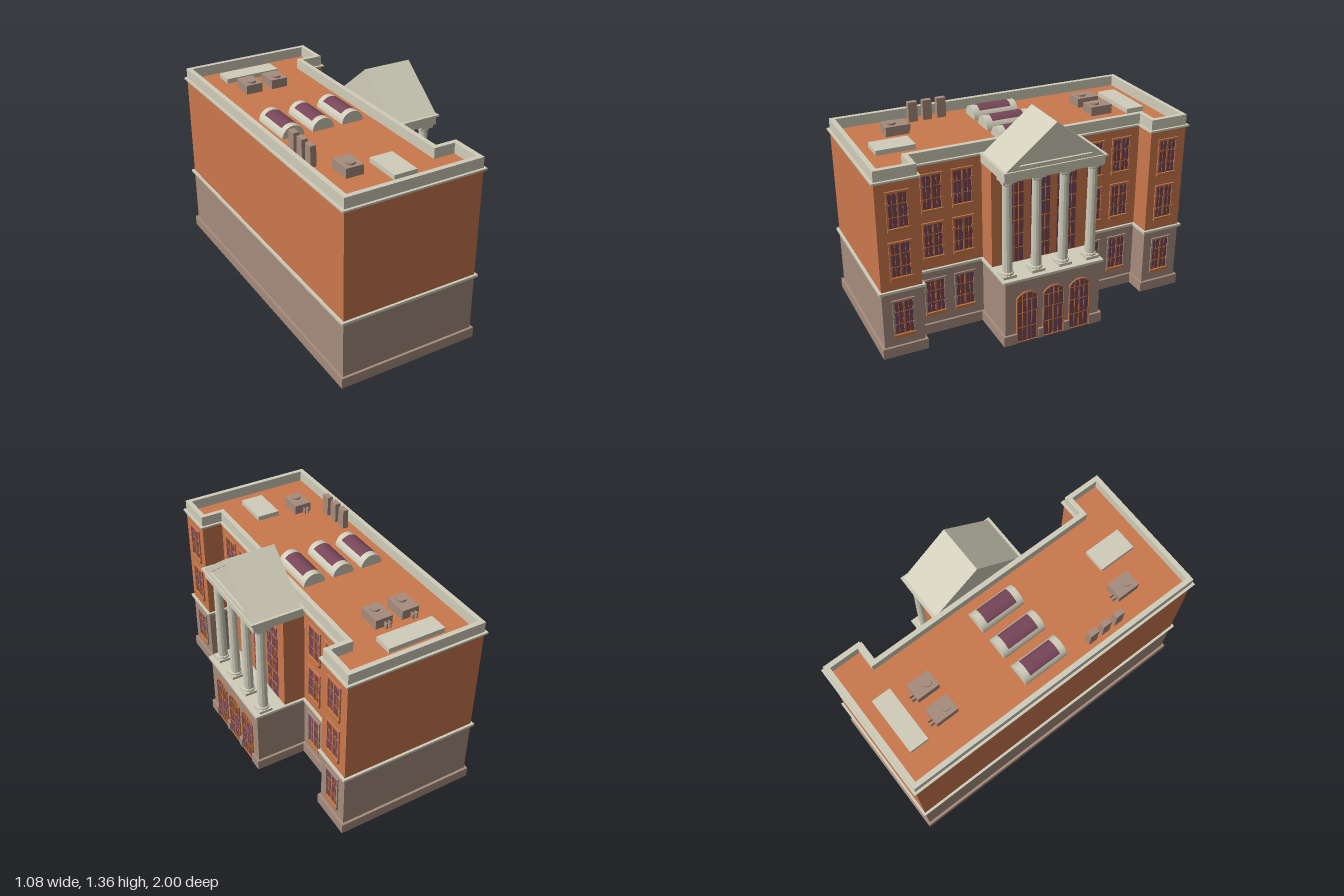
import * as THREE from 'three';

const material = (name, color, side = THREE.FrontSide) => {
  const m = new THREE.MeshStandardMaterial({ color, side });
  m.name = name;
  return m;
};

export function createModel() {
  const model = new THREE.Group();
  model.name = 'building';
  const brick = material('orange brick', 0xcb784c);
  const stone = material('brown stone', 0xa68c7d);
  const cream = material('cream stone', 0xd0cdba);
  const trim = material('window trim', 0xc67840);
  const glass = material('plum glass', 0x774659, THREE.DoubleSide);

  const add = (name, geometry, mat, parent = model) => {
    const mesh = new THREE.Mesh(geometry, mat);
    mesh.name = name;
    parent.add(mesh);
    return mesh;
  };
  // Box given by its limits on each axis
  const box = (name, mat, x0, x1, y0, y1, z0, z1, parent = model) => {
    const g = new THREE.BoxGeometry(x1 - x0, y1 - y0, z1 - z0);
    g.translate((x0 + x1) / 2, (y0 + y1) / 2, (z0 + z1) / 2);
    return add(name, g, mat, parent);
  };

  // Footprint with two wings and an optional centre bay, grown outwards by d
  const outline = (bay, d) => {
    const half = [[-0.525 - d, 0.985 + d], [0.335 + d, 0.985 + d], [0.335 + d, 0.74 - d], [0.2 + d, 0.74 - d]];
    if (bay) half.push([0.2 + d, 0.31 + d], [bay + d, 0.31 + d]);
    const all = [...half, ...half.slice().reverse().map(([x, z]) => [x, -z])];
    return all.map(([x, z]) => new THREE.Vector2(x, -z));
  };
  const rise = (name, mat, shape, y0, y1) => {
    const g = new THREE.ExtrudeGeometry(shape, { depth: y1 - y0, bevelEnabled: false });
    g.rotateX(-Math.PI / 2).translate(0, y0, 0);
    return add(name, g, mat);
  };
  const ring = (name, mat, bay, outer, inner, y0, y1) => {
    const shape = new THREE.Shape(outline(bay, outer));
    shape.holes.push(new THREE.Path(outline(bay, inner)));
    return rise(name, mat, shape, y0, y1);
  };

  // Hollow walls, bands, parapet and roof
  ring('lowerWalls', stone, 0.52, 0, -0.01, 0, 0.42);
  ring('upperWalls', brick, 0.335, 0, -0.01, 0.42, 1.1);
  ring('floorBand', cream, 0.52, 0.015, -0.01, 0.42, 0.435);
  ring('cornice', cream, 0, 0.015, -0.02, 1.1, 1.111);
  ring('parapet', cream, 0, 0, -0.03, 1.11, 1.175);
  rise('roof', brick, new THREE.Shape(outline(0, -0.01)), 1.098, 1.11);

  // Plinth, left open at the doors and closed again by short piers
  const open = (d) => {
    const pts = outline(0.52, d);
    const i = pts.findIndex((p) => p.x > 0.5);
    const path = [...pts.slice(i + 1), ...pts.slice(0, i + 1)];
    return [new THREE.Vector2(path[0].x, 0.24), ...path, new THREE.Vector2(path[0].x, -0.24)];
  };
  rise('plinth', stone, new THREE.Shape([...open(0.015), ...open(-0.01).reverse()]), 0, 0.065);
  for (const s of [-1, 1]) box('plinthPier', stone, 0.51, 0.535, 0, 0.065, s * 0.0865 - 0.0175, s * 0.0865 + 0.0175);

  // Sash window on a wall facing +x
  const windowAt = (x, z, y0, y1, mat) => {
    const g = new THREE.Group();
    g.name = 'window';
    model.add(g);
    const w = 0.06;
    box('pane', glass, x, x + 0.002, y0, y1, z - w, z + w, g);
    for (const s of [-1, 1]) {
      const e = z + s * w;
      box('jamb', mat, x, x + 0.008, y0, y1, e - 0.005, e + 0.005, g);
      for (const t of [0.3, 0.7]) {
        const y = y0 + (y1 - y0) * t;
        box('jambBlock', mat, x, x + 0.01, y - 0.01, y + 0.01, e - 0.008, e + 0.008, g);
      }
      box('glazingBar', trim, x, x + 0.004, y0, y1, z + s * 0.031 - 0.0015, z + s * 0.031 + 0.0015, g);
    }
    box('mullion', trim, x, x + 0.006, y0, y1, z - 0.005, z + 0.005, g);
    for (const t of [0.33, 0.67]) {
      const y = y0 + (y1 - y0) * t;
      box('crossBar', trim, x, x + 0.004, y - 0.0015, y + 0.0015, z - w, z + w, g);
    }
    box('lintel', mat, x, x + 0.01, y1 - 0.008, y1 + 0.004, z - w - 0.008, z + w + 0.008, g);
    box('sill', trim, x, x + 0.014, y0 - 0.008, y0 + 0.012, z - w - 0.006, z + w + 0.006, g);
  };
  for (const [x, z] of [[0.335, 0.86], [0.2, 0.617], [0.2, 0.43]]) {
    for (const s of [-1, 1]) {
      windowAt(x, s * z, 0.13, 0.365, stone);
      windowAt(x, s * z, 0.505, 0.735, brick);
      windowAt(x, s * z, 0.81, 1.04, brick);
    }
  }

  // Tall windows behind the columns, and arched doors below them
  const arch = (w, y0, spring, top) => {
    const s = new THREE.Shape();
    s.moveTo(-w, y0).lineTo(w, y0).lineTo(w, spring);
    s.quadraticCurveTo(w * 0.6, top, 0, top).quadraticCurveTo(-w * 0.6, top, -w, spring);
    s.closePath();
    return s;
  };
  const facing = (shape, depth, x, z) => new THREE.ExtrudeGeometry(shape, { depth, bevelEnabled: false, curveSegments: 6 })
    .rotateY(Math.PI / 2).translate(x, 0, z);
  for (const z of [-0.173, 0, 0.173]) {
    box('tallPane', glass, 0.335, 0.337, 0.44, 0.955, z - 0.063, z + 0.063);
    for (const o of [-0.031, 0, 0.031]) {
      const h = o ? 0.0015 : 0.004;
      box('tallBar', trim, 0.335, 0.34, 0.44, 0.955, z + o - h, z + o + h);
      box('doorBar', trim, 0.52, 0.526, 0, o ? 0.318 : 0.332, z + o - h, z + o + h);
    }
    for (const y of [0.53, 0.62, 0.71, 0.8, 0.885]) box('tallCrossBar', trim, 0.335, 0.34, y - 0.002, y + 0.002, z - 0.063, z + 0.063);
    for (const y of [0.1, 0.2, 0.285]) box('doorCrossBar', trim, 0.52, 0.525, y - 0.002, y + 0.002, z - 0.063, z + 0.063);
    box('tallLintel', brick, 0.335, 0.345, 0.955, 0.968, z - 0.07, z + 0.07);
    add('doorPane', facing(arch(0.065, 0, 0.3, 0.335), 0.003, 0.52, z), glass);
    const frame = arch(0.069, 0, 0.302, 0.341);
    frame.holes.push(arch(0.063, 0.004, 0.299, 0.333));
    add('doorFrame', facing(frame, 0.009, 0.52, z), trim);
  }

  // Portico: terrace, columns, entablature and gable
  box('terrace', cream, 0.19, 0.525, 0.421, 0.434, -0.315, 0.315);
  for (const z of [-0.27, -0.087, 0.087, 0.27]) {
    const column = new THREE.Group();
    column.name = 'column';
    column.position.set(0.46, 0, z);
    model.add(column);
    box('columnFoot', cream, -0.042, 0.042, 0.434, 0.452, -0.042, 0.042, column);
    const profile = [[0.038, 0.452], [0.038, 0.464], [0.031, 0.468], [0.027, 1.012], [0.036, 1.02], [0.036, 1.034]];
    const shaft = new THREE.LatheGeometry(profile.map(([r, y]) => new THREE.Vector2(r, y)), 12).toNonIndexed();
    shaft.computeVertexNormals();
    add('columnShaft', shaft, cream, column);
    box('columnHead', cream, -0.042, 0.042, 1.034, 1.051, -0.042, 0.042, column);
  }
  box('entablature', cream, 0.2, 0.52, 1.05, 1.1, -0.313, 0.313);
  box('porticoCornice', cream, 0.2, 0.535, 1.1, 1.112, -0.322, 0.322);
  const triangle = (w, y0, y1) => new THREE.Shape([[-w, y0], [w, y0], [0, y1]].map((p) => new THREE.Vector2(...p)));
  add('gable', facing(triangle(0.307, 1.11, 1.355), 0.295, 0.215, 0), cream);
  const gableFrame = triangle(0.307, 1.11, 1.355);
  gableFrame.holes.push(triangle(0.225, 1.135, 1.315));
  add('gableFrame', facing(gableFrame, 0.015, 0.51, 0), cream);

  // Barrel skylights
  for (const x of [-0.35, -0.155, 0.04]) {
    const half = new THREE.Shape().absarc(0, 0, 0.07, 0, Math.PI, false);
    const vault = new THREE.ExtrudeGeometry(half, { depth: 0.295, bevelEnabled: false, curveSegments: 10 });
    add('skylight', vault.translate(x, 1.11, -0.15), cream);
    const pane = new THREE.CylinderGeometry(0.072, 0.072, 0.21, 8, 1, true, Math.PI * 0.74, Math.PI * 0.52);
    add('skylightGlass', pane.rotateX(Math.PI / 2).translate(x, 1.11, -0.002), glass);
  }

  // Roof equipment, hatches and chimneys
  for (const [x, z] of [[-0.257, -0.607], [-0.084, -0.607], [-0.3, 0.65]]) {
    box('coolingUnit', stone, x - 0.054, x + 0.054, 1.11, 1.168, z - 0.072, z + 0.072);
    add('coolingFan', new THREE.CylinderGeometry(0.03, 0.03, 0.014, 16).translate(x, 1.173, z + 0.024), stone);
    for (const o of [-0.027, -0.003]) box('pipe', stone, x + o - 0.004, x + o + 0.004, 1.11, 1.145, z - 0.098, z - 0.07);
  }
  box('longHatch', cream, -0.34, 0.02, 1.11, 1.14, -0.88, -0.76);
  box('squareHatch', cream, -0.148, -0.004, 1.11, 1.14, 0.625, 0.862);
  for (const z of [0.308, 0.4, 0.493]) box('chimney', stone, -0.452, -0.416, 1.11, 1.235, z - 0.029, z + 0.029);

  return model;
}
